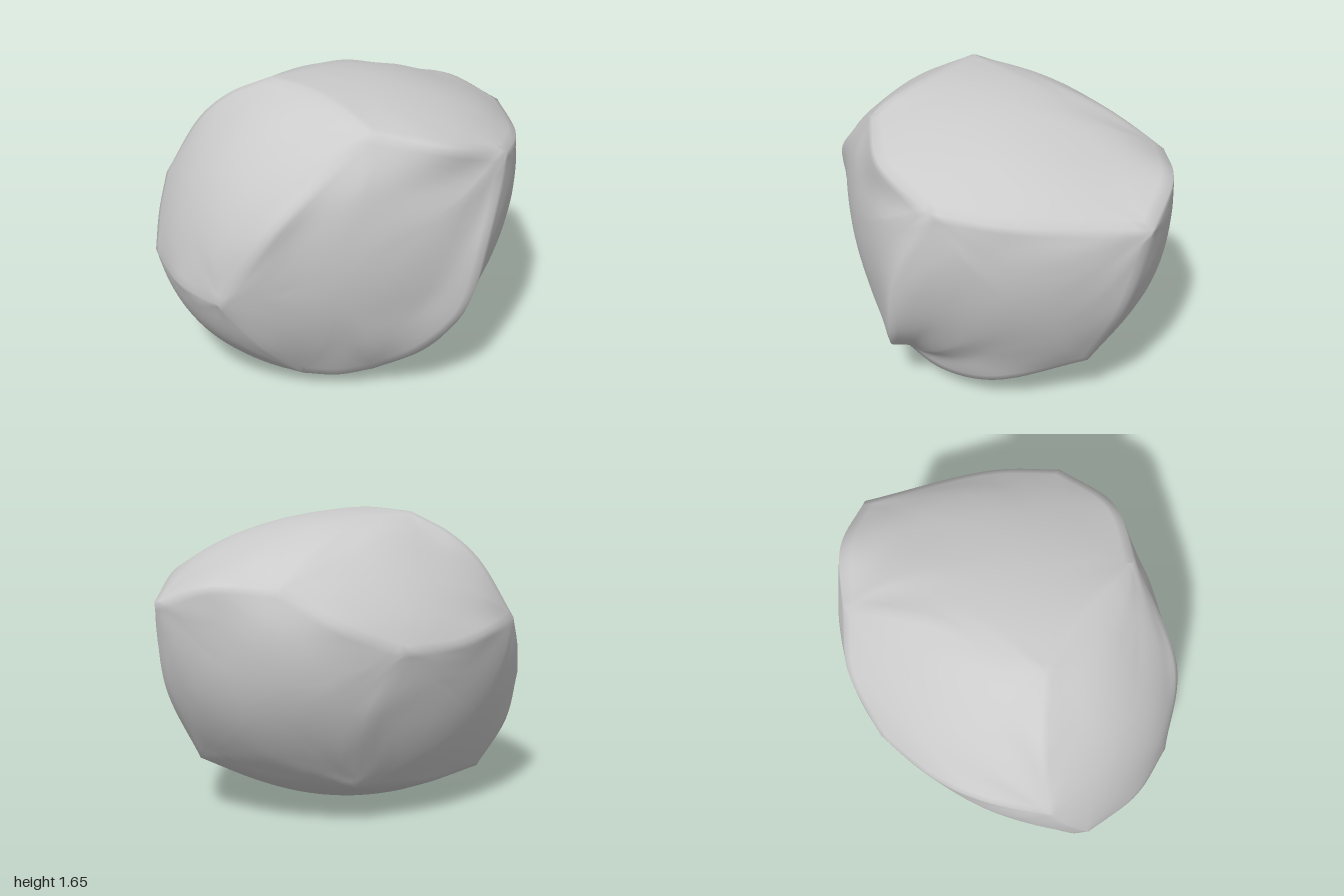
import * as THREE from 'three';
import { mergeVertices } from 'three/addons/utils/BufferGeometryUtils.js';

// Corners where the worn faces of the boulder meet
const corners = {
  a: [0.2, 1.56, 0.7], b: [0.9, 1.36, 0.43], c: [0.94, 1.23, -0.67], d: [0.28, 1.33, -0.85],
  e: [-0.36, 1.64, 0.13], f: [-0.95, 1.05, 0.08], g: [-0.37, 1.0, -0.755], h: [-0.995, 0.68, 0.3],
  i: [-0.58, 0.63, 0.82], j: [-0.16, 0.09, 0.61], k: [0.22, 0.12, 0.6], l: [0.77, 0.32, -0.4],
  m: [-0.1, 0.22, -0.56], n: [-0.76, 0.165, 0.1],
};

// Ridges: the points each one passes between its two corners
const ridges = {
  ab: [[0.58, 1.48, 0.67]],
  bc: [[0.98, 1.31, 0.06]],
  cd: [[0.62, 1.34, -0.83]],
  de: [[0.14, 1.48, -0.6], [-0.02, 1.58, -0.33]],
  ea: [[-0.1, 1.645, 0.36], [0.08, 1.61, 0.57]],
  ef: [[-0.58, 1.53, 0.08], [-0.75, 1.38, 0.06]],
  fg: [[-0.81, 1.03, -0.28], [-0.64, 1.0, -0.515]],
  gd: [[-0.03, 1.15, -0.88]],
  fh: [[-0.985, 0.86, 0.19]],
  hi: [[-0.82, 0.64, 0.61]],
  ia: [[-0.25, 1.13, 0.89]],
  ij: [[-0.37, 0.33, 0.74]],
  jk: [[0.03, 0.09, 0.62]],
  kb: [[0.47, 0.27, 0.65], [0.7, 0.52, 0.66], [0.81, 0.95, 0.62]],
  cl: [[0.92, 0.75, -0.55]],
  lk: [[0.71, 0.17, 0.1], [0.52, 0.12, 0.38]],
  gm: [[-0.2, 0.67, -0.77]],
  ml: [[0.35, 0.25, -0.54]],
  mn: [[-0.48, 0.175, -0.27]],
  hn: [[-0.93, 0.42, 0.21]],
  nj: [[-0.6, 0.12, 0.31], [-0.4, 0.085, 0.48]],
};

// Faces: corner loop and the crown point in the middle
const faces = {
  top: ['abcde', [0.35, 1.59, 0]],
  front: ['abkji', [0.12, 0.85, 0.84]],
  leftSide: ['bclk', [0.95, 0.78, 0.05]],
  back: ['cdgml', [0.32, 0.77, -0.86]],
  upperBackSlope: ['defg', [-0.38, 1.36, -0.42]],
  upperFrontSlope: ['aefhi', [-0.6, 1.25, 0.54]],
  lowerFrontSlope: ['hijn', [-0.72, 0.35, 0.54]],
  lowerBackSlope: ['fgmnh', [-0.72, 0.58, -0.29]],
  underside: ['jklmn', [0.04, 0, 0.25]],
};

const SEGMENTS = 20;
const RINGS = 14;
const vec = (p) => new THREE.Vector3(...p);

// Smooth ridge from corner u to corner v
function ridgePoints(u, v) {
  if (!ridges[u + v]) return ridgePoints(v, u).reverse();
  const path = [corners[u], ...ridges[u + v], corners[v]].map(vec);
  return new THREE.CatmullRomCurve3(path).getPoints(SEGMENTS);
}

// Split each offset into its part along the face and its drop below the crown
function splitOffsets(offsets, normal) {
  return offsets.map((o) => {
    const drop = normal.dot(o);
    const flat = o.clone().addScaledVector(normal, -drop);
    return { drop, flat, square: flat.lengthSq() };
  });
}

const total = (list, key) => list.reduce((s, item) => s + item[key], 0);

// Outward normal at the crown, tilted until the face drops evenly to all sides
function crownNormal(offsets, outward) {
  const normal = new THREE.Vector3();
  offsets.forEach((o, i) => normal.add(o.clone().cross(offsets[(i + 1) % offsets.length])));
  normal.normalize();
  if (normal.dot(outward) < 0) normal.negate();
  for (let step = 0; step < 10; step++) {
    const parts = splitOffsets(offsets, normal);
    const squares = total(parts, 'square');
    const bend = total(parts, 'drop') / squares;
    for (const { drop, flat, square } of parts) {
      normal.addScaledVector(flat, (-drop + bend * square) / squares);
    }
    normal.normalize();
  }
  return normal;
}

// Domed patch: rings from the crown to the ridges, its curvature evened out inside
function addPatch([loop, crownPoint], positions, index) {
  const crown = vec(crownPoint);
  const outward = crown.clone().sub(vec([0, 0.83, 0]));
  let offsets = [...loop]
    .flatMap((u, i) => ridgePoints(u, loop[(i + 1) % loop.length]).slice(0, -1))
    .map((p) => p.sub(crown));
  const turn = offsets.reduce((s, o, i) => s + outward.dot(o.clone().cross(offsets[(i + 1) % offsets.length])), 0);
  if (turn < 0) offsets = offsets.reverse();
  const normal = crownNormal(offsets, outward);
  const parts = splitOffsets(offsets, normal);
  const start = positions.length / 3;
  const count = parts.length;
  for (let r = 0; r <= RINGS; r++) {
    const s = r / RINGS;
    const reach = Math.round(((1 - s) * count) / 3);
    parts.forEach(({ flat, square }, i) => {
      const near = [];
      for (let k = -reach; k <= reach; k++) near.push(parts[(i + k + count) % count]);
      const bend = total(near, 'drop') / total(near, 'square');
      const point = crown.clone().addScaledVector(flat, s).addScaledVector(normal, bend * square * s * s);
      positions.push(...point.toArray());
    });
  }
  for (let r = 0; r < RINGS; r++) {
    for (let i = 0; i < count; i++) {
      const inner = start + r * count;
      const outer = inner + count;
      const j = (i + 1) % count;
      index.push(inner + i, outer + i, outer + j);
      if (r > 0) index.push(inner + i, outer + j, inner + j);
    }
  }
}

export function createModel() {
  const positions = [];
  const index = [];
  Object.values(faces).forEach((face) => addPatch(face, positions, index));

  // Join the patches so that shading flows softly over the ridges
  let geo = new THREE.BufferGeometry();
  geo.setAttribute('position', new THREE.Float32BufferAttribute(positions, 3));
  geo.setIndex(index);
  geo = mergeVertices(geo, 1e-4);
  geo.computeVertexNormals();

  const boulder = new THREE.Mesh(geo, new THREE.MeshStandardMaterial({ color: 0xcccccc }));
  boulder.name = 'boulder';
  const group = new THREE.Group();
  group.name = 'rock';
  group.add(boulder);
  return group;
}
